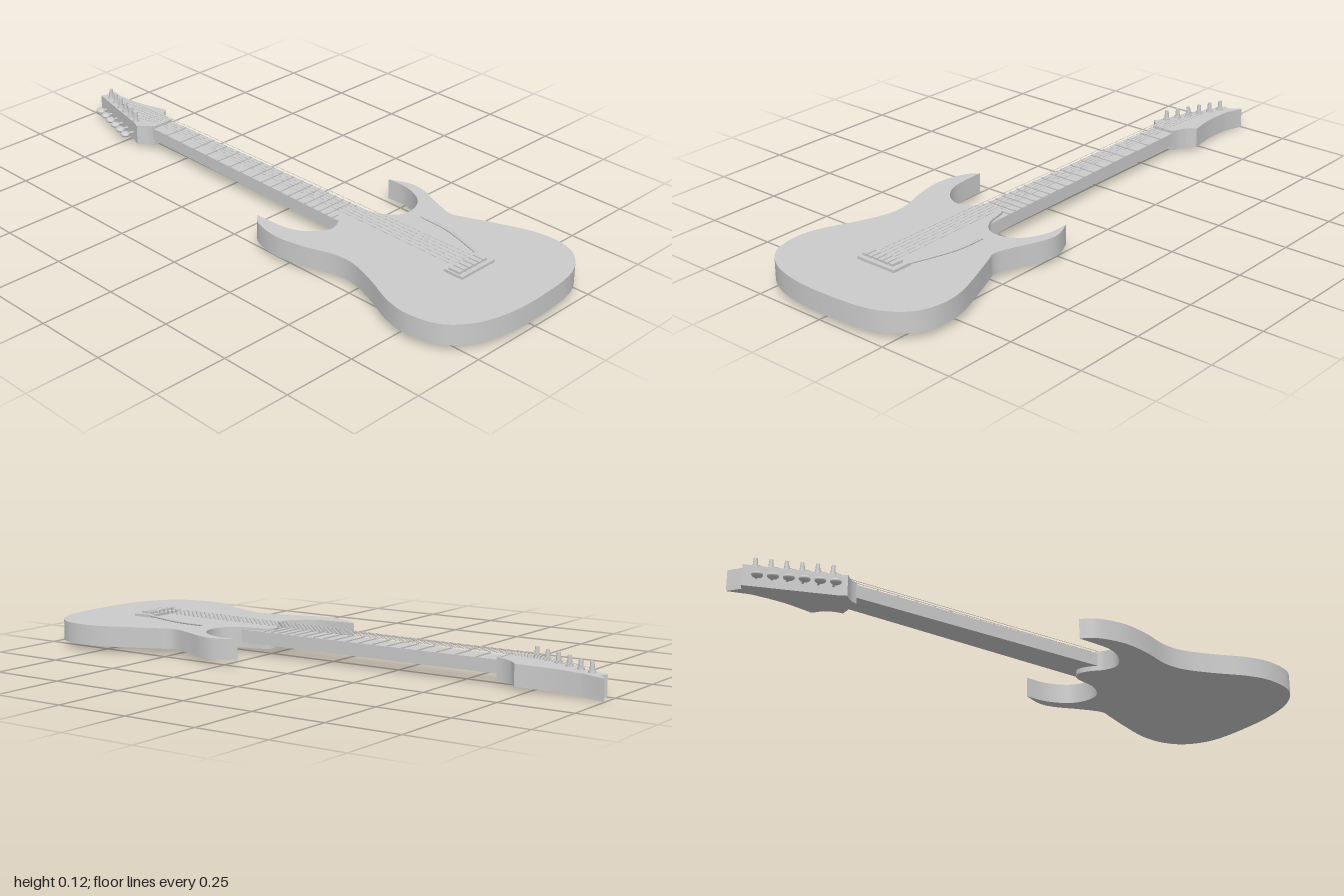
import * as THREE from 'three';
import { toCreasedNormals } from 'three/addons/utils/BufferGeometryUtils.js';

const material = new THREE.MeshStandardMaterial({ color: 0xcccccc, roughness: 0.7 });

function add(parent, name, geometry, x = 0, y = 0, z = 0) {
  const mesh = new THREE.Mesh(geometry, material);
  mesh.name = name;
  mesh.position.set(x, y, z);
  parent.add(mesh);
  return mesh;
}

// Smooth run through [x, z] points
function smooth(points, steps) {
  return new THREE.SplineCurve(points.map(([x, z]) => new THREE.Vector2(x, -z))).getPoints(steps);
}

// Plan outline raised from y0 by the given height
function slab(outline, y0, height) {
  const geo = new THREE.ExtrudeGeometry(new THREE.Shape(outline), { depth: height, bevelEnabled: false });
  geo.rotateX(-Math.PI / 2).translate(0, y0, 0);
  return toCreasedNormals(geo, 0.6);
}

// Straight rod between two points
function rod(parent, name, a, b, radius, sides = 6) {
  const dir = b.clone().sub(a);
  const mesh = add(parent, name, new THREE.CylinderGeometry(radius, radius, dir.length(), sides));
  mesh.position.copy(a).add(b).multiplyScalar(0.5);
  mesh.quaternion.setFromUnitVectors(new THREE.Vector3(0, 1, 0), dir.normalize());
  return mesh;
}

export function createModel() {
  const guitar = new THREE.Group();
  guitar.name = 'electricGuitar';

  // Body: outer edge from horn tip to horn tip, then the two cutaways
  const outer = smooth([[-0.222, 0.075], [-0.257, 0.12], [-0.275, 0.21], [-0.26, 0.31], [-0.228, 0.41],
    [-0.225, 0.49], [-0.257, 0.59], [-0.304, 0.70], [-0.319, 0.79], [-0.294, 0.89], [-0.225, 0.953],
    [-0.13, 0.986], [0, 0.996], [0.177, 0.98], [0.272, 0.927], [0.312, 0.85], [0.31, 0.75], [0.27, 0.636],
    [0.23, 0.54], [0.213, 0.49], [0.235, 0.415], [0.27, 0.325], [0.272, 0.265], [0.245, 0.2]], 110);
  const inner = smooth([[0.245, 0.2], [0.245, 0.276], [0.214, 0.35], [0.16, 0.387], [0.1, 0.385],
    [0.055, 0.335], [0.033, 0.255], [0, 0.232], [-0.038, 0.25], [-0.077, 0.285], [-0.125, 0.298],
    [-0.177, 0.265], [-0.214, 0.197], [-0.222, 0.075]], 70);
  add(guitar, 'body', slab([...outer, ...inner.slice(1, -1)], 0.02, 0.068));

  // Neck, tapering towards the nut
  const nutZ = -0.63, heelZ = 0.34;
  const neckEdge = (z, side) => {
    const t = (z - nutZ) / (heelZ - nutZ);
    return side < 0 ? -0.044 - 0.016 * t : 0.038 + 0.016 * t;
  };
  const neckOutline = [[-1, heelZ], [1, heelZ], [1, nutZ], [-1, nutZ]]
    .map(([s, z]) => new THREE.Vector2(neckEdge(z, s), -z));
  add(guitar, 'neck', slab(neckOutline, 0.037, 0.043));

  // Frets, spaced by equal temperament
  const scaleLength = 1.35;
  for (let i = 1; i <= 18; i++) {
    const z = nutZ + scaleLength * (1 - 2 ** (-i / 12));
    const a = neckEdge(z, -1), b = neckEdge(z, 1);
    add(guitar, 'fret' + i, new THREE.BoxGeometry(b - a, 0.005, 0.005), (a + b) / 2, 0.0815, z);
  }

  // Headstock, tilted back by a shear
  const drop = (z) => 0.047 * (nutZ - z);
  const headOutline = [...smooth([[-0.042, -0.625], [-0.052, -0.65], [-0.077, -0.676]], 6),
    ...smooth([[-0.066, -0.7], [0.013, -0.98]], 1), ...smooth([[0.035, -0.968], [0.072, -1]], 1),
    ...smooth([[0.056, -0.925], [0.06, -0.82], [0.082, -0.71]], 10),
    ...smooth([[0.055, -0.685], [0.043, -0.655], [0.039, -0.625]], 6)];
  const headGeo = slab(headOutline.reverse(), 0.018, 0.069);
  const pos = headGeo.attributes.position;
  for (let i = 0; i < pos.count; i++) pos.setY(i, pos.getY(i) - drop(pos.getZ(i)));
  add(guitar, 'headstock', headGeo);
  add(guitar, 'nut', new THREE.BoxGeometry(0.082, 0.012, 0.01), -0.003, 0.083, nutZ);

  // Tuners: collar, tapered post, side shaft and oval button
  const collarGeo = new THREE.CylinderGeometry(0.011, 0.012, 0.008, 16);
  const postGeo = new THREE.CylinderGeometry(0.006, 0.009, 0.034, 16);
  const buttonGeo = new THREE.SphereGeometry(1, 16, 10).scale(0.016, 0.009, 0.018);
  const pegs = [];
  for (let i = 0; i < 6; i++) {
    const x = -0.05 + i * 0.0145, z = -0.713 - i * 0.0443, top = 0.087 - drop(z);
    const tuner = new THREE.Group();
    tuner.name = 'tuner' + (i + 1);
    tuner.position.set(x, top, z);
    guitar.add(tuner);
    add(tuner, 'collar', collarGeo, 0, 0.003, 0);
    add(tuner, 'post', postGeo, 0, 0.017, 0);
    rod(tuner, 'shaft', new THREE.Vector3(-0.005, -0.04, -0.001), new THREE.Vector3(-0.036, -0.04, -0.009), 0.004, 8);
    add(tuner, 'button', buttonGeo, -0.041, -0.04, -0.011).rotation.y = -0.27;
    pegs.push(new THREE.Vector3(x, top + 0.014, z));
  }

  // Bridge plate with six saddles
  add(guitar, 'bridgePlate', new THREE.BoxGeometry(0.148, 0.011, 0.07), 0.006, 0.0915, 0.743);
  const saddleGeo = new THREE.BoxGeometry(0.016, 0.009, 0.042);
  for (let i = 0; i < 6; i++) add(guitar, 'saddle' + (i + 1), saddleGeo, -0.054 + i * 0.0215, 0.1005, 0.742);

  // Tremolo arm
  const arm = new THREE.CatmullRomCurve3([[0.068, 0.735], [0.085, 0.68], [0.112, 0.59], [0.123, 0.53], [0.125, 0.45]]
    .map(([x, z]) => new THREE.Vector3(x, 0.094, z)));
  add(guitar, 'tremoloArm', new THREE.TubeGeometry(arm, 24, 0.004, 8));
  for (const t of [0, 1]) add(guitar, 'tremoloArmEnd', new THREE.SphereGeometry(0.004, 8, 6)).position.copy(arm.getPoint(t));

  // Strings from saddle over the nut to the post
  pegs.forEach((peg, i) => {
    const saddle = new THREE.Vector3(-0.04 + i * 0.0165, 0.103, 0.73);
    const nut = new THREE.Vector3(-0.031 + i * 0.0113, 0.1, nutZ);
    rod(guitar, 'string' + (i + 1), saddle, nut, 0.0008, 5);
    rod(guitar, 'stringEnd' + (i + 1), nut, peg, 0.0008, 5);
  });

  return guitar;
}
